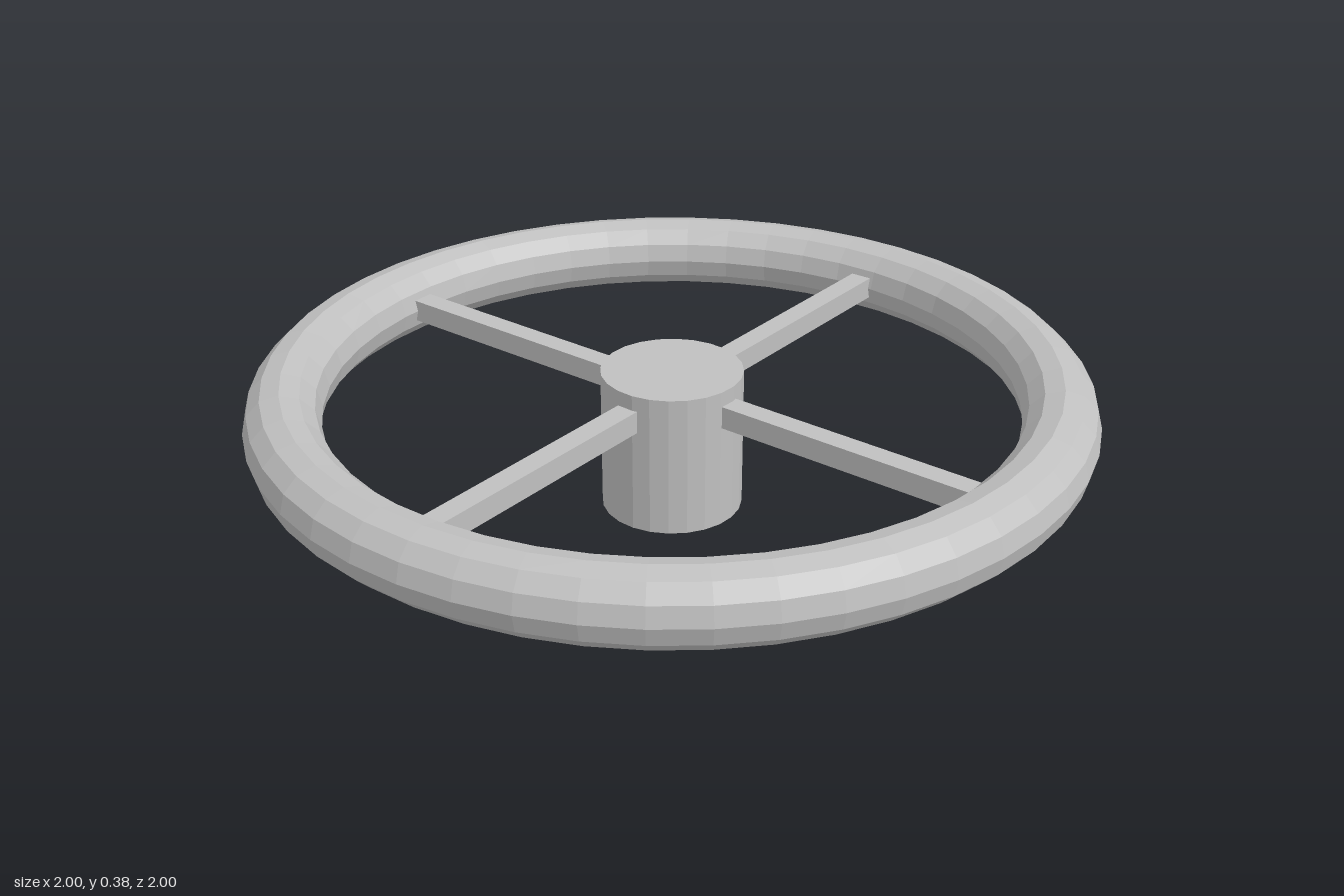
import * as THREE from 'three';

export function createModel() {
  const model = new THREE.Group();
  model.name = 'handwheel';

  const metal = new THREE.MeshStandardMaterial({ color: 0xc0c0c0, flatShading: true });
  metal.name = 'greyMetal';

  const rimRadius = 0.91, tubeRadius = 0.09, rimY = 0.285;
  const hubRadius = 0.17, hubHeight = 0.35;

  const add = (name, geometry, parent = model) => {
    const mesh = new THREE.Mesh(geometry, metal);
    mesh.name = name;
    parent.add(mesh);
    return mesh;
  };

  // Round rim lying flat
  const rim = add('rim', new THREE.TorusGeometry(rimRadius, tubeRadius, 12, 48));
  rim.rotation.x = -Math.PI / 2;
  rim.position.y = rimY;

  // Central hub reaching down to the ground
  const hub = add('hub', new THREE.CylinderGeometry(hubRadius, hubRadius, hubHeight, 24));
  hub.position.y = hubHeight / 2;

  // Four square spokes, sunk slightly into hub and rim
  const spokes = new THREE.Group();
  spokes.name = 'spokes';
  spokes.position.y = rimY;
  model.add(spokes);
  const inner = 0.12, outer = 0.85;
  const bar = new THREE.BoxGeometry(outer - inner, 0.055, 0.055);
  bar.translate((inner + outer) / 2, 0, 0);
  for (let i = 0; i < 4; i++) {
    const spoke = add('spoke' + (i + 1), bar, spokes);
    spoke.rotation.y = THREE.MathUtils.degToRad(40 + i * 90);
  }

  return model;
}
